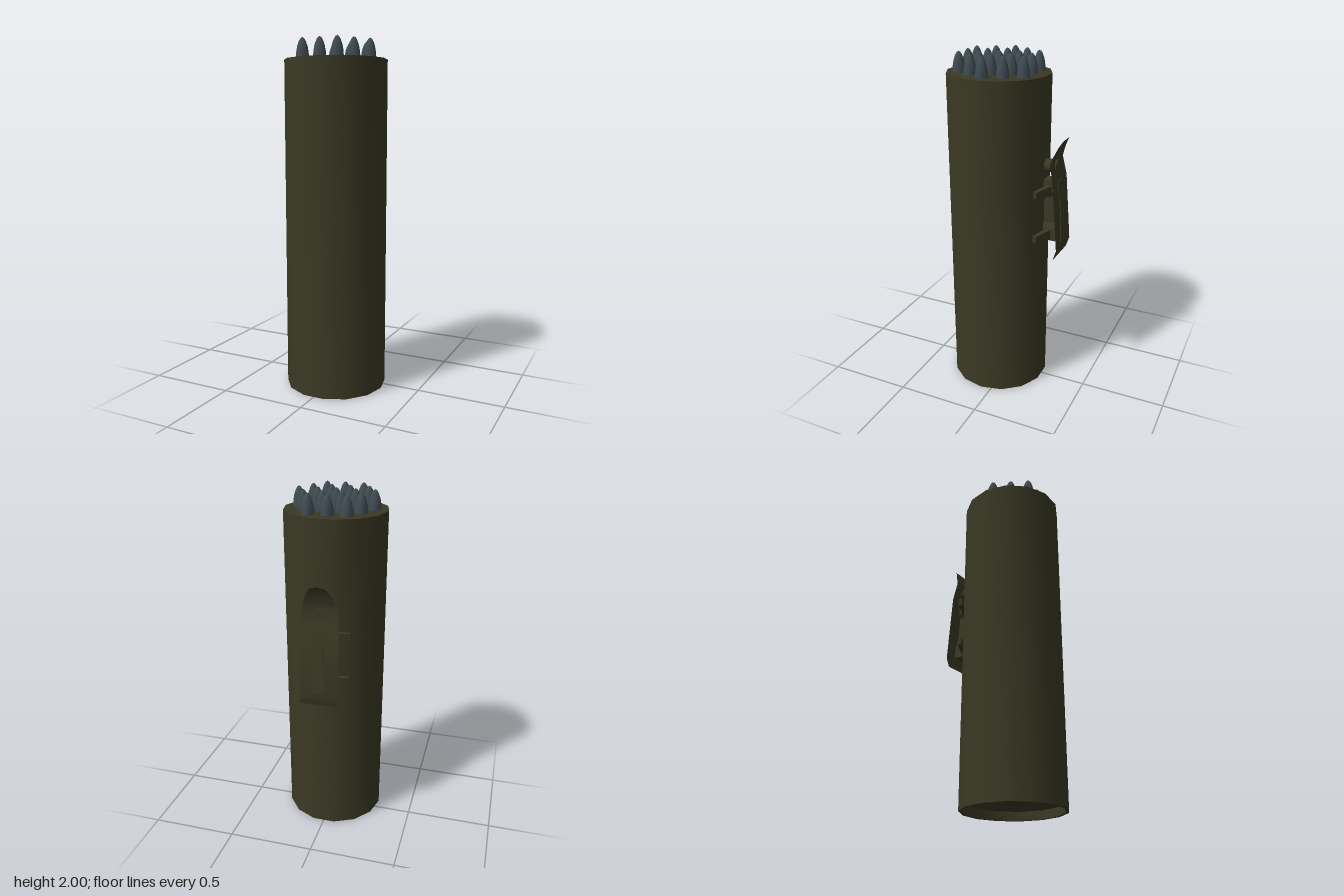
import * as THREE from 'three';
import { toCreasedNormals } from 'three/addons/utils/BufferGeometryUtils.js';

const v2 = (p) => new THREE.Vector2(p[0], p[1]);

export function createModel() {
  const model = new THREE.Group();
  model.name = 'rocketPod';

  const olive = new THREE.MeshStandardMaterial({ color: 0x3b3924, side: THREE.DoubleSide });
  olive.name = 'olive';
  const slate = new THREE.MeshStandardMaterial({ color: 0x3f4b52 });
  slate.name = 'slate';

  const add = (parent, name, geometry, material) => {
    const mesh = new THREE.Mesh(geometry, material);
    mesh.name = name;
    parent.add(mesh);
    return mesh;
  };

  // Fourteen-sided tube with a shallow recess underneath
  const R = 0.2915, H = 1.89, Z = 0.065;
  const tubeProfile = [[0, 0.05], [0.275, 0.05], [0.275, 0], [R, 0], [R, H], [0, H]].map(v2);
  const tube = toCreasedNormals(new THREE.LatheGeometry(tubeProfile, 14, Math.PI / 2), 0.8);
  add(model, 'tube', tube, olive).position.z = Z;

  // Nineteen rocket tips in a hexagonal pattern
  const tipProfile = [[0.037, 0], [0.035, 0.03], [0.029, 0.063], [0.019, 0.09], [0.01, 0.104], [0, 0.11]].map(v2);
  const tip = new THREE.LatheGeometry(tipProfile, 8);
  const tips = new THREE.Group();
  tips.name = 'rocketTips';
  model.add(tips);
  [3, 4, 5, 4, 3].forEach((count, row) => {
    for (let i = 0; i < count; i++) {
      add(tips, 'rocketTip', tip, slate)
        .position.set((i - (count - 1) / 2) * 0.106 - 0.002, H, Z + (row - 2) * 0.095);
    }
  });

  // Bracket on the back
  const bracket = new THREE.Group();
  bracket.name = 'bracket';
  bracket.position.x = -0.007;
  model.add(bracket);

  // Thin plate: rows of [y, z, half width], flared to a point at the top
  const rows = [
    [0.87, -0.313, 0.11], [0.93, -0.332, 0.11], [1.32, -0.301, 0.109], [1.43, -0.279, 0.098],
    [1.47, -0.291, 0.087], [1.52, -0.312, 0.067], [1.555, -0.332, 0.043], [1.572, -0.352, 0.003],
  ];
  const positions = [], index = [];
  rows.forEach(([y, z, w], i) => {
    positions.push(-w, y, z, w, y, z);
    if (i) {
      const a = i * 2 - 2;
      index.push(a, a + 2, a + 1, a + 1, a + 2, a + 3);
    }
  });
  const plate = new THREE.BufferGeometry();
  plate.setAttribute('position', new THREE.Float32BufferAttribute(positions, 3));
  plate.setIndex(index);
  add(bracket, 'backPlate', toCreasedNormals(plate, 0.5), olive);

  // Dumbbell-shaped web, its outer face following the slope of the plate
  const half = [[0.036, 0.955], [0.036, 1.03], [0.02, 1.06], [0.02, 1.22], [0.036, 1.25], [0.036, 1.32]];
  const outline = half.concat(half.map(([x, y]) => [-x, y]).reverse());
  const web = new THREE.ExtrudeGeometry(new THREE.Shape(outline.map(v2)), { depth: 1, bevelEnabled: false });
  const wp = web.attributes.position;
  for (let i = 0; i < wp.count; i++) {
    const outer = -0.337 + (wp.getY(i) - 0.93) * 0.08;
    wp.setZ(i, wp.getZ(i) > 0.5 ? -0.21 : outer);
  }
  web.computeVertexNormals();
  add(bracket, 'web', web, olive);

  // Round boss above the web
  const boss = new THREE.CylinderGeometry(0.038, 0.038, 0.08, 12).rotateX(Math.PI / 2);
  add(bracket, 'boss', boss, olive).position.set(0, 1.395, -0.25);

  // Tapered side arms, two on each side
  const arm = new THREE.BoxGeometry(0.118, 1, 1);
  const ap = arm.attributes.position;
  for (let i = 0; i < ap.count; i++) {
    const isTip = ap.getX(i) > 0;
    ap.setY(i, ap.getY(i) * (isTip ? 0.04 : 0.06));
    ap.setZ(i, ap.getZ(i) * (isTip ? 0.021 : 0.034));
  }
  arm.computeVertexNormals();
  arm.rotateY(-0.36).translate(0.092, 0, -0.234);
  const mirrored = arm.clone().rotateZ(Math.PI);
  for (const y of [0.995, 1.26]) {
    add(bracket, 'leftArm', arm, olive).position.y = y;
    add(bracket, 'rightArm', mirrored, olive).position.y = y;
  }

  return model;
}
